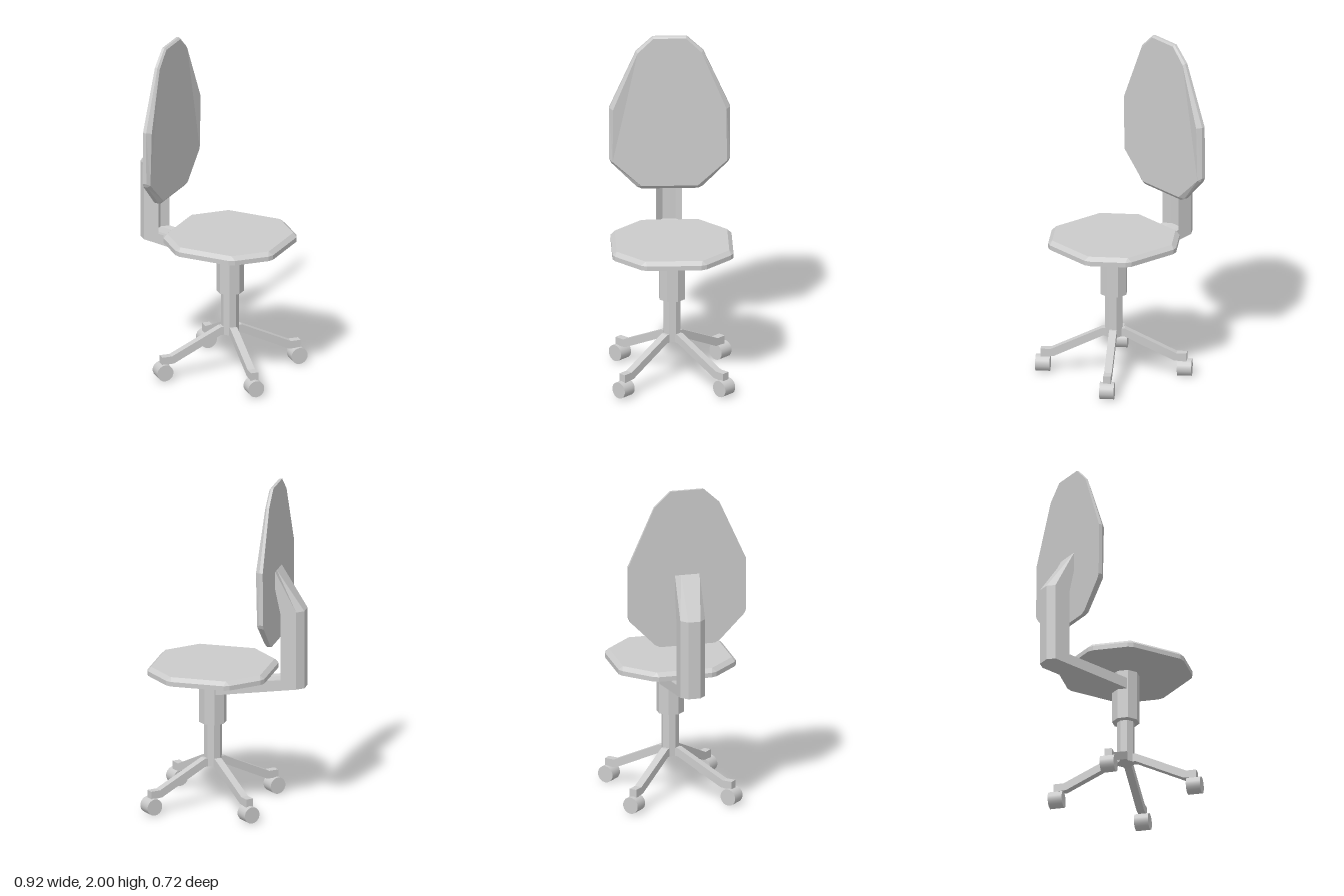
import * as THREE from 'three';

const flat = new THREE.MeshStandardMaterial({ color: 0xcccccc, flatShading: true });
const smooth = new THREE.MeshStandardMaterial({ color: 0xcccccc });
const CX = 0.1; // column axis

function add(parent, name, geometry, material = flat) {
  const mesh = new THREE.Mesh(geometry, material);
  mesh.name = name;
  parent.add(mesh);
  return mesh;
}

// Skin matching rings (counter-clockwise about their direction) and cap both ends.
// Corners listed in "ears" are cut off the end cap as separate facets.
function loft(rings, ears = []) {
  const n = rings[0].length, last = rings.length - 1, pos = [];
  const tri = (...pts) => pts.forEach((p) => pos.push(...p));
  for (let r = 0; r < last; r++) {
    for (let i = 0; i < n; i++) {
      const j = (i + 1) % n, A = rings[r], B = rings[r + 1];
      tri(A[i], A[j], B[j]);
      tri(A[i], B[j], B[i]);
    }
  }
  const start = rings[0], end = rings[last];
  for (let i = 1; i < n - 1; i++) tri(start[0], start[i + 1], start[i]);
  const core = end.filter((_, i) => !ears.includes(i));
  for (let i = 1; i < core.length - 1; i++) tri(core[0], core[i], core[i + 1]);
  ears.forEach((i) => tri(end[i - 1], end[i], end[i + 1]));
  const g = new THREE.BufferGeometry();
  g.setAttribute('position', new THREE.Float32BufferAttribute(pos, 3));
  g.computeVertexNormals();
  return g;
}

function octagonPost(apothem, y0, y1) {
  const r = apothem / Math.cos(Math.PI / 8);
  return new THREE.CylinderGeometry(r, r, y1 - y0, 8)
    .rotateY(Math.PI / 8).translate(CX, (y0 + y1) / 2, 0);
}

// Octagonal seat: one quarter of the outline turned four times
function seatRing(quarter, y) {
  const ring = [];
  for (let k = 0; k < 4; k++) {
    for (let [x, z] of quarter) {
      for (let t = 0; t < k; t++) [x, z] = [z, -x];
      ring.push([CX + x, y, z]);
    }
  }
  return ring;
}

// Backrest ring: half outline [z, y] mirrored, x given by a rule
function backRing(half, xAt) {
  const left = half.map(([z, y], i) => [xAt(y, i), y, z]);
  const right = left.map(([x, y, z]) => [x, y, -z]).reverse();
  return [...left, ...right];
}

// Support bar section: outer and inner edge, sides shifted forward
function barRing([ox, oy, ix, iy, shift]) {
  const zs = [-0.075, -0.037, 0.037, 0.075];
  const at = (x, y, z) => [x + (Math.abs(z) > 0.05 ? shift : 0), y, z];
  return [...zs.map((z) => at(ox, oy, z)), ...zs.reverse().map((z) => at(ix, iy, z))];
}

export function createModel() {
  const chair = new THREE.Group();
  chair.name = 'swivelChair';

  // Seat
  const rim = [[0.355, -0.16], [0.34, -0.193], [0.193, -0.34], [0.16, -0.355]];
  const top = [[0.33, -0.167], [0.33, -0.167], [0.167, -0.33], [0.167, -0.33]];
  add(chair, 'seat', loft([seatRing(rim, 0.815), seatRing(rim, 0.843), seatRing(top, 0.865)]));

  // Backrest with a bevelled, slightly cupped front
  const edge = [[0.1, 2], [0.197, 1.91], [0.355, 1.555], [0.355, 1.235], [0.343, 1.21], [0.195, 1.06], [0.165, 1.045]];
  const face = [[0.095, 1.99], [0.188, 1.9], [0.333, 1.55], [0.335, 1.22], [0.335, 1.22], [0.165, 1.067], [0.165, 1.067]];
  const lean = (y) => (y - 1.05) / 0.95;
  add(chair, 'backrest', loft([
    backRing(edge, (y) => -0.3 + 0.006 * lean(y)),
    backRing(edge, (y) => -0.274 - 0.005 * lean(y)),
    backRing(face, (y, i) => (i === 2 ? -0.25 : -0.255 - 0.014 * lean(y))),
  ], [2, 11]));

  // Support bar from the column to the backrest
  add(chair, 'backSupport', loft([
    [0.026, 0.691, 0.026, 0.757, 0.037],
    [-0.465, 0.765, -0.37, 0.815, 0.04],
    [-0.465, 1.24, -0.37, 1.22, 0.04],
    [-0.298, 1.48, -0.298, 1.37, 0],
  ].map(barRing)));

  // Column
  add(chair, 'columnSleeve', octagonPost(0.075, 0.505, 0.81));
  add(chair, 'columnPost', octagonPost(0.049, 0.24, 0.5));

  // Four legs, side profile extruded across the width
  const width = 0.045;
  const profile = new THREE.Shape([
    [0.03, 0.24], [0.065, 0.24], [0.355, 0.1], [0.43, 0.095],
    [0.43, 0.145], [0.37, 0.145], [0.065, 0.29], [0.03, 0.29],
  ].map(([x, y]) => new THREE.Vector2(x, y)));
  const legGeo = new THREE.ExtrudeGeometry(profile, { depth: width, bevelEnabled: false })
    .translate(0, 0, -width / 2);
  // All wheels share one rolling direction
  const wheelGeo = new THREE.CylinderGeometry(0.05, 0.05, 0.085, 18)
    .rotateX(Math.PI / 2).rotateY(Math.PI / 4);
  for (let i = 0; i < 4; i++) {
    const a = Math.PI / 4 + i * Math.PI / 2;
    const leg = add(chair, 'leg' + (i + 1), legGeo);
    leg.position.x = CX;
    leg.rotation.y = a;
    const wheel = add(chair, 'casterWheel' + (i + 1), wheelGeo, smooth);
    wheel.position.set(CX + 0.417 * Math.cos(a), 0.052, -0.417 * Math.sin(a));
  }
  return chair;
}
